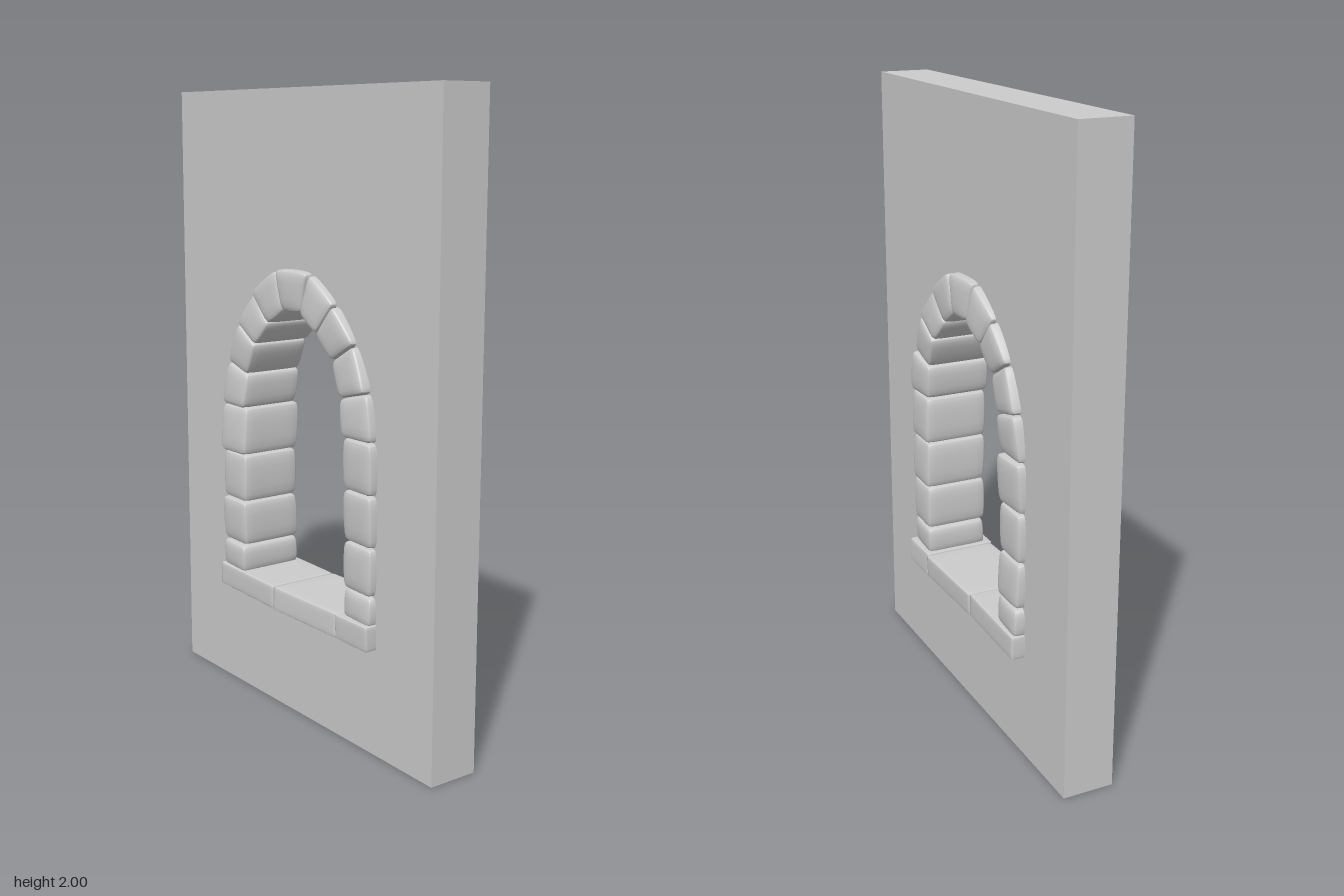
import * as THREE from 'three';
import { mergeVertices } from 'three/addons/utils/BufferGeometryUtils.js';

const material = new THREE.MeshStandardMaterial({ color: 0xcccccc });

// small seeded generator, returns -1..1
let seed = 7;
function jitter() {
  seed = (seed * 16807) % 2147483647;
  return (seed / 2147483647) * 2 - 1;
}

// Joints of the surround, foot to crown: [inner z, inner y, outer z, outer y]
const joints = [
  [0.265, 0.41, 0.4, 0.41],
  [0.265, 0.505, 0.4, 0.505],
  [0.265, 0.655, 0.402, 0.655],
  [0.265, 0.815, 0.402, 0.815],
  [0.265, 0.975, 0.4, 0.975],
  [0.252, 1.09, 0.375, 1.12],
  [0.2, 1.195, 0.308, 1.255],
  [0.133, 1.27, 0.212, 1.365],
  [0.05, 1.325, 0.085, 1.448],
];
const mirrored = joints.map(([iz, iy, oz, oy]) => [-iz, iy, -oz, oy]).reverse();
const path = [...joints, ...mirrored];

// Pillowed block stretched over a quad a-b (first joint) to c-d (second joint) in z,y
function stone(a, b, c, d, halfDepth, radius, bulge) {
  let geo = new THREE.BoxGeometry(2, 2, 2, 8, 8, 8);
  geo.deleteAttribute('normal');
  geo.deleteAttribute('uv');
  geo = mergeVertices(geo);
  const half = new THREE.Vector3(
    (a.distanceTo(b) + c.distanceTo(d)) / 4,
    (a.distanceTo(c) + b.distanceTo(d)) / 4,
    halfDepth
  );
  const core = half.clone().subScalar(radius);
  const tilt = [jitter() * 0.006, jitter() * 0.006];
  const pos = geo.attributes.position;
  const p = new THREE.Vector3(), inner = new THREE.Vector3();
  for (let i = 0; i < pos.count; i++) {
    // crowd the grid towards the edges, then round them
    p.fromBufferAttribute(pos, i);
    p.set(...p.toArray().map((t) => Math.sin((t * Math.PI) / 2))).multiply(half);
    inner.copy(p).clamp(core.clone().negate(), core);
    p.sub(inner).normalize().multiplyScalar(radius).add(inner).divide(half);
    // swell the middle of each face
    const u = p.x * (1 + (bulge / half.x) * (1 - p.y * p.y));
    const v = p.y;
    const w = p.z * (halfDepth + bulge * (1 - p.x * p.x) * (1 - p.y * p.y))
      + tilt[0] * p.x + tilt[1] * p.y;
    const s = (u + 1) / 2, t = (v + 1) / 2;
    const low = a.clone().lerp(b, s), high = c.clone().lerp(d, s);
    low.lerp(high, t);
    pos.setXYZ(i, -w, low.y, low.x);
  }
  geo.computeVertexNormals();
  return geo;
}

function add(group, name, geometry) {
  const mesh = new THREE.Mesh(geometry, material);
  mesh.name = name;
  group.add(mesh);
}

export function createModel() {
  seed = 7;
  const model = new THREE.Group();
  model.name = 'archedWindowWall';
  const V = (x, y) => new THREE.Vector2(x, y);

  // wall slab, its opening running hidden through the middle of the stones
  const slab = new THREE.Shape([V(-0.667, 0), V(0.667, 0), V(0.667, 2), V(-0.667, 2)]);
  const edge = path.map(([iz, iy, oz, oy]) => V((iz + oz) / 2, (iy + oy) / 2));
  edge[0].y = edge[edge.length - 1].y = 0.38;
  slab.holes.push(new THREE.Path(edge));
  const wall = new THREE.ExtrudeGeometry(slab, { depth: 0.166, bevelEnabled: false });
  wall.translate(0, 0, -0.083).rotateY(-Math.PI / 2);
  add(model, 'wall', wall);

  // jamb stones, arch stones and keystone
  const surround = new THREE.Group();
  surround.name = 'stoneSurround';
  for (let i = 0; i < path.length - 1; i++) {
    const [p, q] = [path[i], path[i + 1]];
    const kind = i === joints.length - 1 ? 'keystone'
      : Math.abs(p[3] + q[3]) / 2 < 0.98 ? 'jambStone' : 'archStone';
    const depth = 0.109 + jitter() * 0.004;
    add(surround, kind, stone(V(p[0], p[1]), V(p[2], p[3]), V(q[0], q[1]), V(q[2], q[3]),
      depth, 0.018, 0.005));
  }
  model.add(surround);

  // sill of three slabs
  const sill = new THREE.Group();
  sill.name = 'sill';
  const cuts = [-0.405, -0.08, 0.25, 0.405];
  for (let i = 0; i < 3; i++) {
    const [l, r] = [cuts[i], cuts[i + 1]];
    const top = 0.42 + jitter() * 0.004, base = 0.34 + jitter() * 0.004;
    add(sill, 'sillSlab', stone(V(l, base), V(r, base), V(l, top), V(r, top), 0.123, 0.007, 0.001));
  }
  model.add(sill);
  return model;
}
